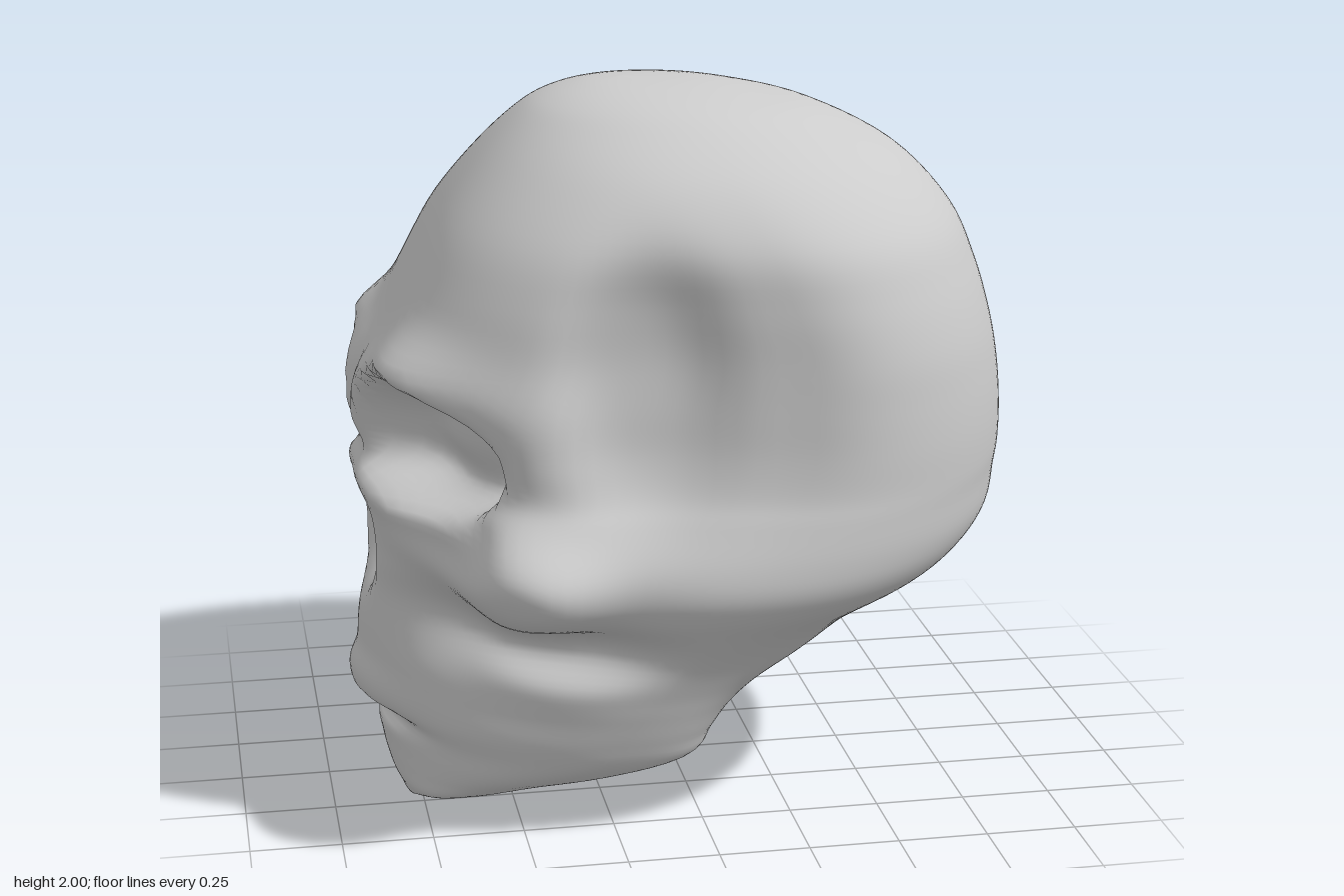
import * as THREE from 'three';

// Horizontal sections, top to bottom: y, face x, back x, widest x, half width, squareness
const SECTIONS = [
  [2.0, -0.15, -0.13, -0.14, 0.005, 2],
  [1.99, -0.25, 0.07, -0.1, 0.14, 2],
  [1.96, -0.35, 0.24, -0.05, 0.29, 2],
  [1.91, -0.43, 0.42, 0, 0.41, 2.1],
  [1.8, -0.54, 0.63, 0.06, 0.59, 2.2],
  [1.65, -0.655, 0.775, 0.14, 0.717, 2.5],
  [1.5, -0.735, 0.845, 0.2, 0.757, 2.75],
  [1.35, -0.81, 0.89, 0.25, 0.775, 2.8],
  [1.22, -0.9, 0.915, 0.25, 0.785, 2.8],
  [1.1, -0.92, 0.925, 0.25, 0.79, 2.7],
  [1.0, -0.88, 0.925, 0.22, 0.8, 2.6],
  [0.93, -0.91, 0.915, 0.17, 0.82, 2.4],
  [0.83, -0.88, 0.9, 0.1, 0.842, 2.2],
  [0.75, -0.875, 0.845, 0.07, 0.84, 2],
  [0.68, -0.88, 0.76, 0.04, 0.805, 1.9],
  [0.6, -0.885, 0.6, -0.02, 0.742, 1.8],
  [0.5, -0.9, 0.43, -0.1, 0.675, 1.75],
  [0.42, -0.905, 0.25, -0.15, 0.64, 1.75],
  [0.35, -0.9, 0.14, -0.2, 0.622, 1.75],
  [0.27, -0.885, 0.07, -0.26, 0.603, 1.8],
  [0.2, -0.86, 0.02, -0.3, 0.575, 1.8],
  [0.14, -0.845, -0.16, -0.42, 0.51, 1.9],
  [0.09, -0.835, -0.36, -0.56, 0.425, 2],
  [0.04, -0.82, -0.56, -0.68, 0.34, 2.1],
  [0.0, -0.8, -0.73, -0.77, 0.2, 2],
];

// Sculpting strokes on one side: centre, radii, push and edge hardness
const STROKES = [
  { at: [-0.8, 1.08, 0.37], r: [0.45, 0.17, 0.24], push: [0.235, 0, 0], hard: 7 },     // eye socket
  { at: [-0.68, 1.07, 0.58], r: [0.2, 0.17, 0.15], push: [0.045, 0, 0], hard: 4 },     // outer socket rim
  { at: [-0.74, 0.88, 0.48], r: [0.2, 0.1, 0.18], push: [0.06, 0, 0], hard: 3 },       // lower socket rim
  { at: [-0.76, 1.3, 0.42], r: [0.25, 0.08, 0.18], push: [-0.065, 0, 0], hard: 2 },    // brow ridge
  { at: [-0.04, 1.22, 0.75], r: [0.32, 0.42, 0.4], push: [0, 0, -0.06], hard: 3 },     // temple
  { at: [-0.19, 1.28, 0.75], r: [0.21, 0.35, 0.4], push: [0, 0, -0.07], hard: 4 },     // temple front edge
  { at: [-0.53, 0.77, 0.63], r: [0.22, 0.15, 0.28], push: [-0.03, 0, 0.155], hard: 3 },// cheekbone
  { at: [-0.42, 0.56, 0.62], r: [0.26, 0.085, 0.3], push: [0, 0, -0.1], hard: 3 },     // hollow under cheekbone
  { at: [-0.72, 0.6, 0.45], r: [0.16, 0.13, 0.2], push: [0.07, 0, -0.04], hard: 2 },   // hollow beside nose
  { at: [-0.35, 0.42, 0.6], r: [0.2, 0.1, 0.25], push: [0, 0, 0.02], hard: 2 },        // jaw muscle ridge
  { at: [-0.9, 0.73, 0], r: [0.2, 0.14, 0.1], push: [0.08, 0, 0], hard: 4 },           // nose opening
  { at: [-0.9, 0.31, 0], r: [0.2, 0.07, 0.28], push: [-0.035, 0, 0], hard: 3 },        // upper teeth
  { at: [-0.87, 0.225, 0], r: [0.2, 0.035, 0.32], push: [0.045, 0, 0], hard: 3 },      // mouth crease
  { at: [-0.92, 1.15, 0], r: [0.1, 0.12, 0.06], push: [0.03, 0, 0], hard: 2 },         // notch between brows
];

const AROUND = 144;
const STEPS = 5;

// Catmull-Rom blend of the section values
function sectionAt(t) {
  const last = SECTIONS.length - 1;
  const i = Math.min(Math.floor(t), last - 1), f = t - i;
  const row = k => SECTIONS[Math.max(0, Math.min(last, k))];
  return SECTIONS[0].map((_, c) => {
    const [a, b, d, e] = [row(i - 1)[c], row(i)[c], row(i + 1)[c], row(i + 2)[c]];
    return b + 0.5 * f * (d - a + f * (2 * a - 5 * b + 4 * d - e + f * (3 * (b - d) + e - a)));
  });
}

function sculpt(x, y, z) {
  const side = z < 0 ? -1 : 1;
  const q = [x, y, Math.abs(z)];
  const move = [0, 0, 0];
  for (const s of STROKES) {
    const d = Math.hypot(...q.map((v, k) => (v - s.at[k]) / s.r[k]));
    const w = Math.exp(-0.9 * d ** s.hard);
    s.push.forEach((v, k) => { move[k] += v * w; });
  }
  return [q[0] + move[0], q[1] + move[1], side * (q[2] + move[2])];
}

function skullGeometry() {
  const rows = (SECTIONS.length - 1) * STEPS;
  const pos = [], index = [];
  for (let j = 0; j <= rows; j++) {
    const [y, xf, xb, xc, hz, nf] = sectionAt(j / STEPS);
    // the back is round on the cranium and square on the jaw
    const nb = 4.6 - 2.55 * THREE.MathUtils.smoothstep(y, 0.12, 0.6);
    for (let i = 0; i < AROUND; i++) {
      const a = (i / AROUND) * Math.PI * 2, c = Math.cos(a), s = Math.sin(a);
      const n = c < 0 ? nf : nb;
      // superellipse by polar radius keeps the points evenly spread
      const k = (Math.abs(c) ** n + Math.abs(s) ** n) ** (-1 / n);
      pos.push(...sculpt(xc + c * k * (c < 0 ? xc - xf : xb - xc), Math.max(0, y), s * k * hz));
    }
  }
  for (let j = 0; j < rows; j++) {
    for (let i = 0; i < AROUND; i++) {
      const a = j * AROUND + i, b = j * AROUND + (i + 1) % AROUND;
      index.push(a, b, a + AROUND, b, b + AROUND, a + AROUND);
    }
  }
  // close crown and chin
  const crown = pos.length / 3;
  pos.push(-0.14, 2, 0, -0.77, 0.005, 0);
  for (let i = 0; i < AROUND; i++) {
    const n = (i + 1) % AROUND, base = rows * AROUND;
    index.push(crown, n, i, crown + 1, base + i, base + n);
  }
  const g = new THREE.BufferGeometry();
  g.setAttribute('position', new THREE.Float32BufferAttribute(pos, 3));
  g.setIndex(index);
  g.computeVertexNormals();
  return g;
}

export function createModel() {
  const group = new THREE.Group();
  group.name = 'skull';
  const bone = new THREE.MeshStandardMaterial({ color: 0xcccccc });
  const skull = new THREE.Mesh(skullGeometry(), bone);
  skull.name = 'skullBone';
  group.add(skull);
  return group;
}
